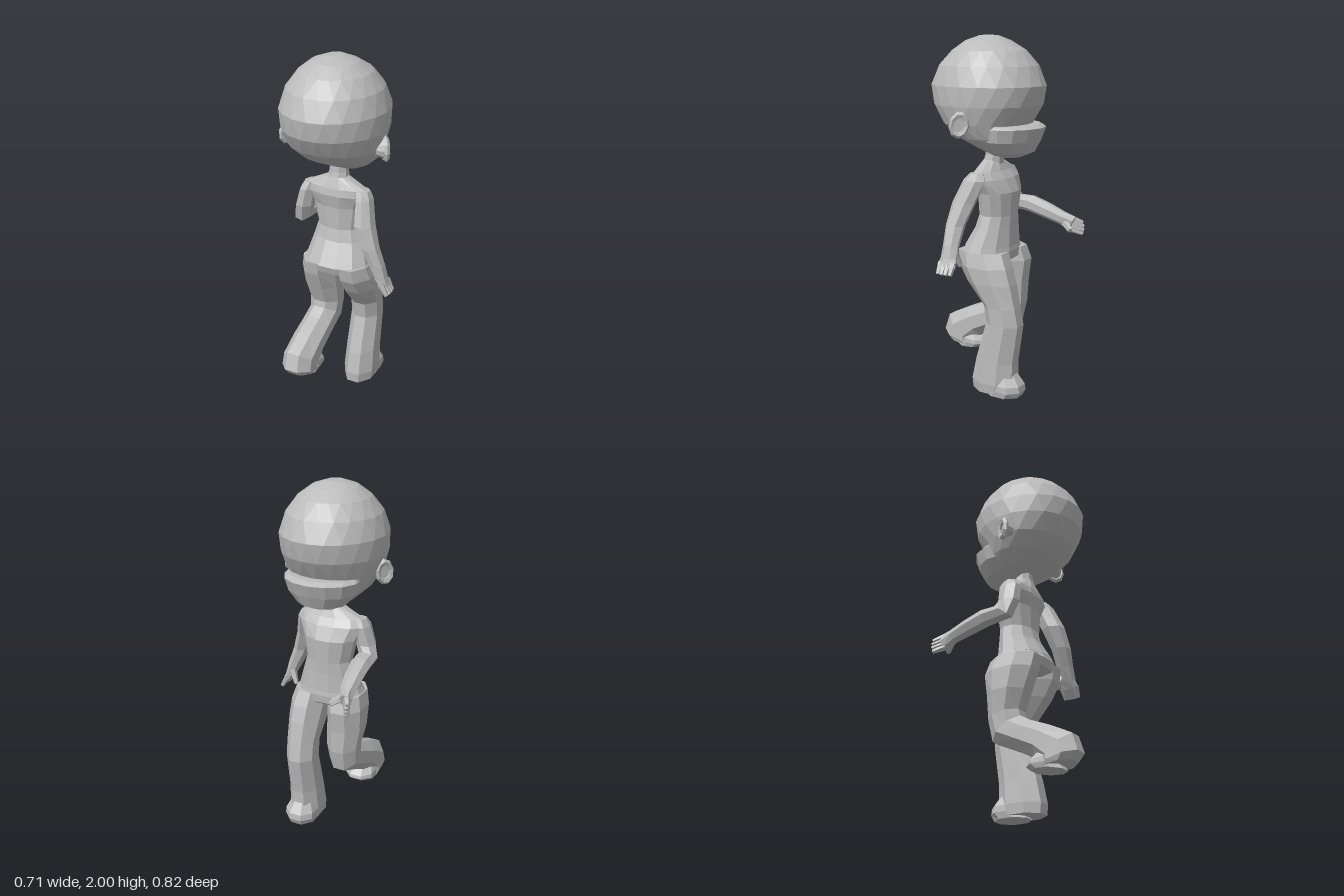
import * as THREE from 'three';

const grey = new THREE.MeshStandardMaterial({ color: 0xbbbbbb });
grey.name = 'plain grey';

// Flat facets: split vertices, then face normals
function addMesh(parent, name, geometry) {
  const flat = geometry.index ? geometry.toNonIndexed() : geometry;
  flat.computeVertexNormals();
  const mesh = new THREE.Mesh(flat, grey);
  mesh.name = name;
  parent.add(mesh);
  return mesh;
}

// Skin over elliptical rings [x, y, z, half width, half depth, tilt in degrees], listed from top to end.
// Staggered rings turn every second ring by half a side.
function loft(rings, sides = 8, stagger = false) {
  const pos = [], idx = [];
  const grow = stagger ? 1.006 : 1 / Math.cos(Math.PI / sides);
  rings.forEach(([x, y, z, rx, rz, tilt = 0], i) => {
    const t = THREE.MathUtils.degToRad(tilt);
    for (let j = 0; j < sides; j++) {
      const a = ((j + (stagger ? (i % 2) / 2 : 0.5)) / sides) * Math.PI * 2;
      const d = grow * rz * Math.sin(a);
      pos.push(x + grow * rx * Math.cos(a), y + d * Math.sin(t), z + d * Math.cos(t));
    }
  });
  const last = rings.length - 1, top = rings.length * sides;
  pos.push(...rings[0].slice(0, 3), ...rings[last].slice(0, 3));
  for (let j = 0; j < sides; j++) {
    const k = (j + 1) % sides;
    for (let i = 0; i < last; i++) {
      const a = i * sides + j, b = i * sides + k, c = a + sides, d = b + sides;
      if (stagger && i % 2) idx.push(a, d, c, a, b, d);
      else idx.push(a, b, c, b, d, c);
    }
    idx.push(top, k, j, top + 1, last * sides + j, last * sides + k);
  }
  const g = new THREE.BufferGeometry();
  g.setAttribute('position', new THREE.Float32BufferAttribute(pos, 3));
  g.setIndex(idx);
  return g;
}

// Head ring from [y, front z, back z, half width]
const mid = -0.027;
const headRing = ([y, f, b, w]) => [mid, y, (f + b) / 2, w, (b - f) / 2];

// Tapered finger between two points
function addFinger(parent, name, from, to, r) {
  const a = new THREE.Vector3(...from), b = new THREE.Vector3(...to);
  const dir = b.clone().sub(a);
  const mesh = addMesh(parent, name, new THREE.CylinderGeometry(r * 0.6, r, dir.length(), 5));
  mesh.position.copy(a).add(b).multiplyScalar(0.5);
  mesh.quaternion.setFromUnitVectors(new THREE.Vector3(0, 1, 0), dir.normalize());
}

export function createModel() {
  const model = new THREE.Group();
  model.name = 'walkingFigure';

  // Head
  const head = new THREE.Group();
  head.name = 'headGroup';
  model.add(head);
  addMesh(head, 'head', loft([
    [2.0, 0.0, 0.1, 0.045], [1.972, -0.07, 0.18, 0.125], [1.92, -0.158, 0.255, 0.195],
    [1.84, -0.228, 0.33, 0.255], [1.735, -0.275, 0.377, 0.29], [1.63, -0.252, 0.36, 0.288],
    [1.53, -0.19, 0.295, 0.265], [1.455, -0.17, 0.205, 0.222],
    [1.39, -0.15, 0.07, 0.15], [1.355, -0.12, -0.0, 0.085],
  ].map(headRing), 20, true));

  // Lower face jutting out below the brow
  addMesh(head, 'face', loft([
    [1.528, -0.235, 0.08, 0.2], [1.512, -0.272, 0.1, 0.212], [1.44, -0.245, 0.08, 0.195],
    [1.375, -0.215, 0.02, 0.135], [1.347, -0.15, -0.03, 0.07],
  ].map(headRing), 14));

  // Ears: cups opening toward the face, flared at the rear
  for (const s of [-1, 1]) {
    const ear = new THREE.Group();
    ear.name = s > 0 ? 'leftEar' : 'rightEar';
    ear.position.set(mid + s * 0.291, 1.538, 0.055);
    ear.rotation.set(0, s * 2.2, s * -0.22);
    ear.scale.set(0.95, 1.25, 1);
    addMesh(ear, 'earRim', new THREE.TorusGeometry(0.043, 0.016, 5, 9));
    const cup = addMesh(ear, 'earCup', new THREE.CylinderGeometry(0.045, 0.026, 0.05, 9));
    cup.rotation.x = Math.PI / 2;
    cup.position.z = -0.028;
    head.add(ear);
  }

  // Neck and torso
  addMesh(model, 'neck', loft([
    [mid, 1.42, 0.01, 0.045, 0.045], [mid, 1.35, 0.015, 0.05, 0.047], [mid, 1.28, 0.025, 0.065, 0.055],
  ]));
  addMesh(model, 'torso', loft([
    [mid, 1.325, 0.025, 0.06, 0.045], [-0.033, 1.265, 0.022, 0.175, 0.07], [-0.035, 1.225, 0.01, 0.19, 0.09],
    [-0.035, 1.15, -0.015, 0.155, 0.1], [-0.03, 1.02, -0.012, 0.128, 0.096],
    [-0.028, 0.95, -0.002, 0.148, 0.105], [-0.023, 0.845, 0.026, 0.18, 0.138],
  ], 12));
  addMesh(model, 'hips', loft([
    [-0.023, 0.865, 0.02, 0.172, 0.128], [-0.025, 0.82, 0.03, 0.19, 0.145],
    [-0.027, 0.775, 0.025, 0.2, 0.135], [-0.027, 0.75, 0.015, 0.1, 0.09],
  ], 12));

  // Standing leg
  addMesh(model, 'leftLeg', loft([
    [0.078, 0.82, 0.025, 0.092, 0.14], [0.089, 0.74, 0, 0.1, 0.15], [0.092, 0.65, -0.04, 0.096, 0.138],
    [0.092, 0.52, -0.107, 0.083, 0.1], [0.09, 0.42, -0.124, 0.083, 0.101], [0.089, 0.2, -0.075, 0.087, 0.117],
    [0.088, 0.07, -0.06, 0.092, 0.13], [0.086, 0.012, -0.055, 0.086, 0.122],
  ]));
  addMesh(model, 'leftFoot', loft([
    [0.087, 0.13, -0.12, 0.06, 0.07], [0.087, 0.07, -0.145, 0.086, 0.088],
    [0.087, 0.035, -0.148, 0.088, 0.09], [0.087, 0, -0.12, 0.08, 0.1],
  ]));

  // Lifted leg, bent at the knee
  addMesh(model, 'rightLeg', loft([
    [-0.13, 0.82, 0.025, 0.092, 0.14], [-0.138, 0.74, 0.005, 0.102, 0.146], [-0.138, 0.62, -0.01, 0.102, 0.115],
    [-0.13, 0.5, -0.028, 0.09, 0.095, 10], [-0.13, 0.42, -0.01, 0.084, 0.102, 35],
    [-0.133, 0.37, 0.09, 0.085, 0.085, 58], [-0.135, 0.318, 0.2, 0.088, 0.09, 60],
    [-0.137, 0.255, 0.292, 0.09, 0.115, 40], [-0.137, 0.207, 0.305, 0.092, 0.11, 14],
    [-0.137, 0.178, 0.28, 0.083, 0.1, 8],
  ]));
  addMesh(model, 'rightFoot', loft([
    [-0.137, 0.27, 0.24, 0.06, 0.07, 10], [-0.137, 0.215, 0.205, 0.084, 0.086, 5],
    [-0.137, 0.19, 0.205, 0.086, 0.09, 0], [-0.137, 0.162, 0.23, 0.078, 0.09, -4],
  ]));

  // Hanging arm
  const leftArm = new THREE.Group();
  leftArm.name = 'leftArmGroup';
  model.add(leftArm);
  addMesh(leftArm, 'leftArm', loft([
    [0.125, 1.265, 0.03, 0.035, 0.04], [0.14, 1.225, 0.04, 0.04, 0.062], [0.166, 1.1, 0.093, 0.051, 0.064],
    [0.212, 0.98, 0.12, 0.047, 0.052], [0.257, 0.88, 0.118, 0.038, 0.045], [0.285, 0.81, 0.116, 0.028, 0.046],
    [0.308, 0.765, 0.118, 0.02, 0.053],
  ], 7));
  for (let i = 0; i < 4; i++) {
    const z = 0.08 + i * 0.026;
    addFinger(leftArm, 'leftFinger', [0.3, 0.785, z], [0.343 - Math.abs(i - 1.5) * 0.006, 0.725, z], 0.021);
  }
  addFinger(leftArm, 'leftThumb', [0.268, 0.84, 0.09], [0.235, 0.76, 0.075], 0.024);

  // Arm reaching out ahead of the body
  const rightArm = new THREE.Group();
  rightArm.name = 'rightArmGroup';
  model.add(rightArm);
  addMesh(rightArm, 'rightArm', loft([
    [-0.19, 1.265, 0.03, 0.035, 0.04], [-0.205, 1.225, 0.035, 0.042, 0.06], [-0.228, 1.12, 0.04, 0.05, 0.056],
    [-0.25, 1.055, 0.02, 0.05, 0.057, -38], [-0.255, 1.045, -0.09, 0.05, 0.045, -72],
    [-0.262, 1.01, -0.2, 0.047, 0.041, -72], [-0.272, 0.975, -0.29, 0.038, 0.036, -70],
    [-0.287, 0.945, -0.35, 0.028, 0.044, -68],
  ], 7));
  for (let i = 0; i < 4; i++) {
    const d = (i - 1.5) * 0.021;
    addFinger(rightArm, 'rightFinger', [-0.288, 0.945 + d, -0.335], [-0.322, 0.918 + d, -0.405 + Math.abs(d) * 0.3], 0.02);
  }
  addFinger(rightArm, 'rightThumb', [-0.265, 0.955, -0.31], [-0.212, 0.922, -0.37], 0.024);

  return model;
}
